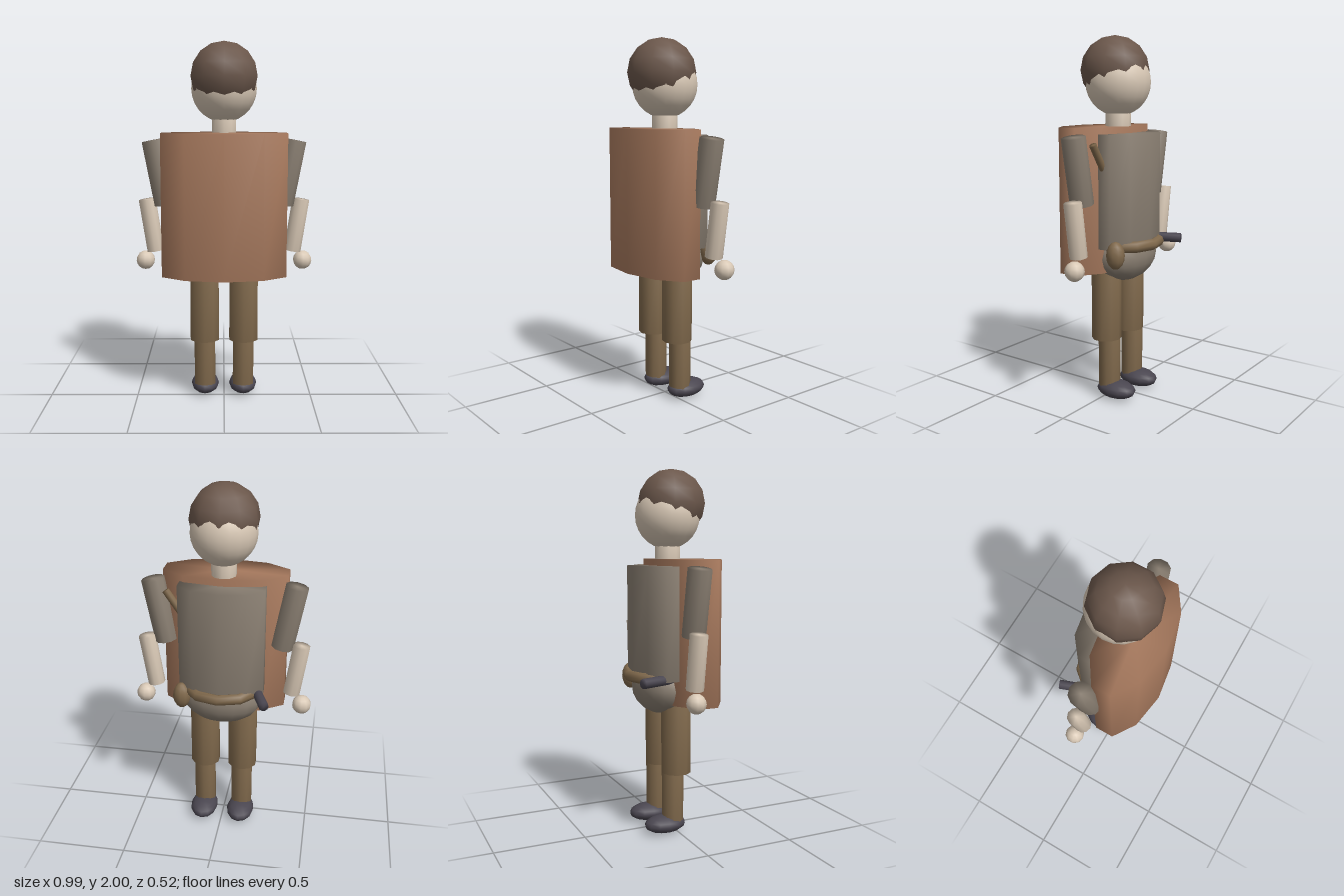
import * as THREE from 'three';
import { mergeVertices } from 'three/addons/utils/BufferGeometryUtils.js';

const COLORS = {
  hair: 0x6b574b, skin: 0xd8c8b5, cloak: 0xa87a5e,
  trousers: 0x80694c, shirt: 0x8a7f72, dark: 0x4a4650,
};
const SIDES = 10;

// Weld all corners so shading runs softly over the edges
function weld(geometry) {
  geometry.deleteAttribute('uv');
  geometry.deleteAttribute('normal');
  const welded = mergeVertices(geometry, 1e-4);
  welded.computeVertexNormals();
  return welded;
}

export function createModel() {
  const model = new THREE.Group();
  model.name = 'figure';
  const materials = {};
  for (const key in COLORS) {
    materials[key] = new THREE.MeshStandardMaterial({ color: COLORS[key] });
  }

  function add(name, geometry, color, x, y, z) {
    const mesh = new THREE.Mesh(geometry, materials[color]);
    mesh.name = name;
    mesh.position.set(x, y, z);
    model.add(mesh);
    return mesh;
  }

  // Ellipsoid with a corner facing front and back
  function ball(name, color, [x, y, z], [rx, ry, rz], segments = SIDES, rings = 8) {
    const g = new THREE.SphereGeometry(1, segments, rings).rotateY(Math.PI / 2).scale(rx, ry, rz);
    return add(name, weld(g), color, x, y, z);
  }

  // Upright elliptical drum between two heights
  function drum(name, color, x, z, y0, y1, rx, rz) {
    const g = new THREE.CylinderGeometry(1, 1, y1 - y0, SIDES).scale(rx, 1, rz);
    return add(name, weld(g), color, x, (y0 + y1) / 2, z);
  }

  // Round bar between two points
  function bar(name, color, from, to, radius) {
    const a = new THREE.Vector3(...from);
    const b = new THREE.Vector3(...to);
    const dir = b.clone().sub(a);
    const mid = a.clone().add(b).multiplyScalar(0.5);
    const g = weld(new THREE.CylinderGeometry(radius, radius, dir.length(), SIDES));
    const mesh = add(name, g, color, mid.x, mid.y, mid.z);
    mesh.quaternion.setFromUnitVectors(new THREE.Vector3(0, 1, 0), dir.normalize());
    return mesh;
  }

  // Head
  ball('head', 'skin', [0, 1.75, 0], [0.178, 0.18, 0.178], 20, 14);
  ball('hair', 'hair', [0, 1.815, 0.021], [0.187, 0.185, 0.187]);
  drum('neck', 'skin', 0, 0, 1.42, 1.62, 0.068, 0.07);

  // Body and cloak
  drum('torso', 'shirt', 0, -0.069, 0.87, 1.48, 0.245, 0.139);
  ball('pelvis', 'shirt', [0, 0.81, -0.06], [0.22, 0.145, 0.132], 16, 10);
  drum('cloak', 'cloak', 0, 0.085, 0.735, 1.515, 0.357, 0.172);

  // Belt, pouch, sheath and chest strap
  const belt = new THREE.TorusGeometry(0.19, 0.031, 8, SIDES)
    .rotateZ(Math.PI / 2).rotateX(Math.PI / 2).scale(1, 1, 0.85);
  add('belt', weld(belt), 'trousers', 0, 0.881, -0.069);
  ball('pouch', 'trousers', [0.215, 0.845, -0.137], [0.05, 0.075, 0.05]);
  bar('sheath', 'dark', [-0.18, 0.88, -0.05], [-0.255, 0.88, -0.255], 0.027);
  bar('chestStrap', 'trousers', [0.305, 1.43, -0.06], [-0.05, 0.9, -0.06], 0.02);

  // Arms and legs, mirrored
  for (const s of [1, -1]) {
    const side = s > 0 ? 'left' : 'right';
    bar(side + 'UpperArm', 'shirt', [s * 0.323, 1.119, 0], [s * 0.389, 1.472, 0], 0.064);
    bar(side + 'Forearm', 'skin', [s * 0.385, 0.853, -0.024], [s * 0.429, 1.144, -0.024], 0.048);
    ball(side + 'Hand', 'skin', [s * 0.445, 0.793, -0.045], [0.053, 0.053, 0.053]);
    drum(side + 'Thigh', 'trousers', s * 0.11, 0, 0.34, 0.725, 0.084, 0.082);
    drum(side + 'Shin', 'trousers', s * 0.11, -0.02, 0.05, 0.4, 0.062, 0.061);
    ball(side + 'Shoe', 'dark', [s * 0.11, 0.05, -0.066], [0.08, 0.05, 0.12], 12, 8);
  }
  return model;
}
